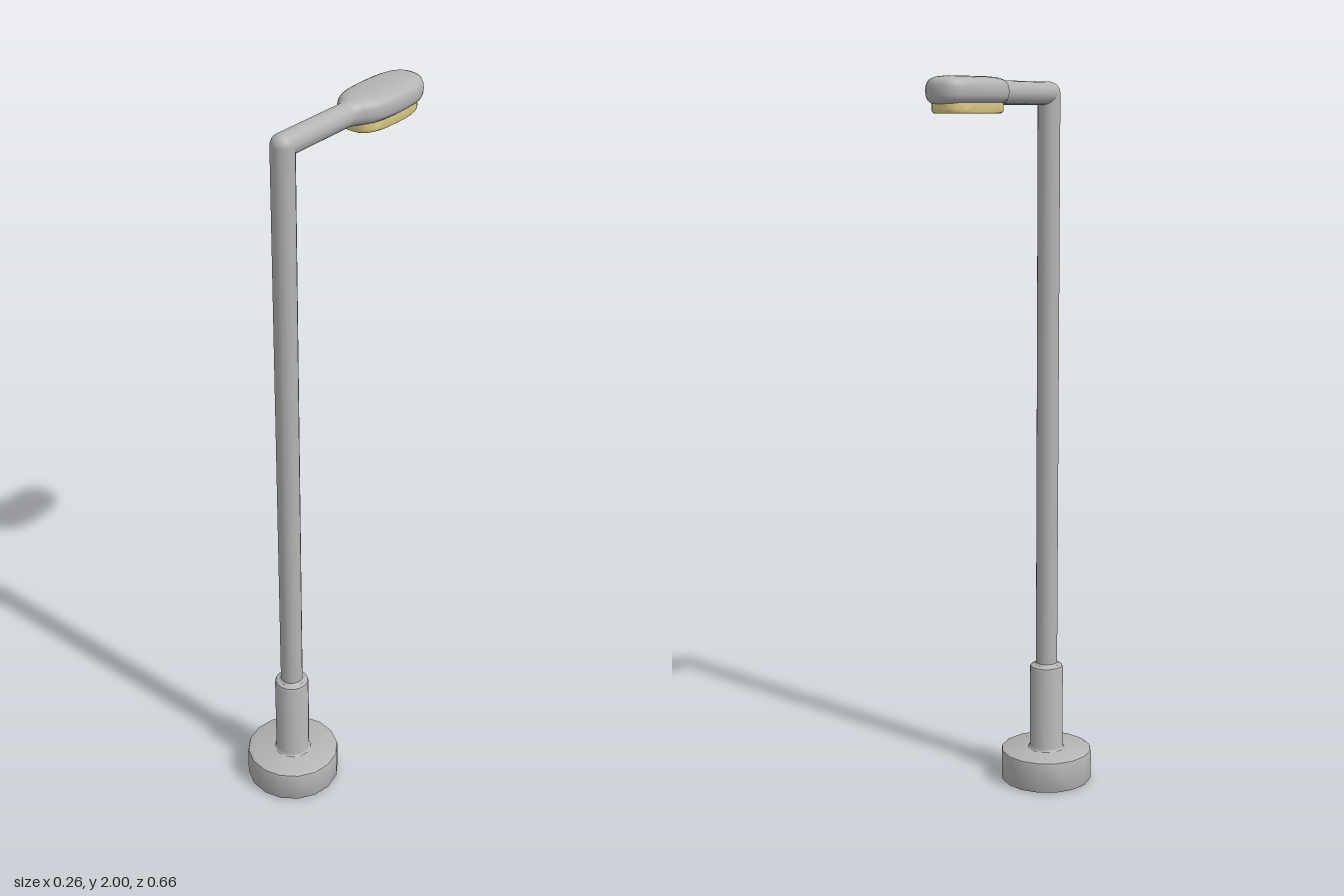
import * as THREE from 'three';
import { toCreasedNormals } from 'three/addons/utils/BufferGeometryUtils.js';

const POLE_Z = 0.196, ARM_Y = 1.96, TUBE_R = 0.031;

// Skin a list of equal-length rings of points; the last ring collapses to a tip
function loft(rings) {
  const n = rings[0].length, pos = rings.flat(2), index = [];
  for (let r = 0; r < rings.length - 1; r++) {
    for (let i = 0; i < n; i++) {
      const j = (i + 1) % n, a = r * n, b = a + n;
      index.push(a + i, b + i, a + j, a + j, b + i, b + j);
    }
  }
  const g = new THREE.BufferGeometry();
  g.setAttribute('position', new THREE.Float32BufferAttribute(pos, 3));
  g.setIndex(index);
  g.computeVertexNormals();
  return g;
}

// Points of a rounded-box outline with half sizes a and b
function superellipse(a, b, power, n = 32) {
  const f = (v) => Math.sign(v) * Math.abs(v) ** (2 / power);
  return Array.from({ length: n }, (_, i) => {
    const t = (i / n) * Math.PI * 2;
    return [a * f(Math.cos(t)), b * f(Math.sin(t))];
  });
}

export function createModel() {
  const group = new THREE.Group();
  const metal = new THREE.MeshStandardMaterial({ name: 'grey metal', color: 0xb4b4b4 });
  const glow = new THREE.MeshStandardMaterial({ name: 'warm lens', color: 0xeedb90 });

  const add = (name, geometry, material, x = 0, y = 0, z = 0) => {
    const mesh = new THREE.Mesh(geometry, material);
    mesh.name = name;
    mesh.position.set(x, y, z);
    group.add(mesh);
    return mesh;
  };
  const lathe = (profile) => toCreasedNormals(
    new THREE.LatheGeometry(profile.map(([r, y]) => new THREE.Vector2(r, y)), 16), 0.65);

  // Round foot with softened rims
  add('base', lathe([
    [0, 0], [0.125, 0], [0.13, 0.002], [0.132, 0.007],
    [0.132, 0.082], [0.13, 0.089], [0.123, 0.093], [0, 0.093],
  ]), metal, 0, 0, POLE_Z);

  // Thicker collar at the bottom of the pole
  add('sleeve', lathe([
    [0.054, 0.092], [0.05, 0.095], [0.048, 0.102], [0.048, 0.335],
    [0.046, 0.342], [0.041, 0.345], [0.036, 0.346], [0.031, 0.352],
  ]), metal, 0, 0, POLE_Z);

  // Pole, elbow and horizontal arm
  const poleBottom = 0.33;
  add('pole', new THREE.CylinderGeometry(TUBE_R, TUBE_R, ARM_Y - poleBottom, 16, 1, true),
    metal, 0, (ARM_Y + poleBottom) / 2, POLE_Z);
  add('elbow', new THREE.SphereGeometry(TUBE_R, 16, 12), metal, 0, ARM_Y, POLE_Z);
  const armEnd = -0.06;
  const arm = add('arm', new THREE.CylinderGeometry(TUBE_R, TUBE_R, POLE_Z - armEnd, 16, 1, true),
    metal, 0, ARM_Y, (POLE_Z + armEnd) / 2);
  arm.rotation.x = Math.PI / 2;

  // Lamp head swelling out of the arm: z, half width, bottom, top, squareness
  const sections = [
    [-0.045, 0.031, 1.929, 1.991, 2], [-0.06, 0.036, 1.928, 1.993, 2.1],
    [-0.07, 0.044, 1.928, 1.996, 2.3], [-0.085, 0.054, 1.927, 1.998, 2.5],
    [-0.105, 0.062, 1.926, 1.999, 2.7], [-0.135, 0.068, 1.926, 2, 2.8],
    [-0.175, 0.071, 1.926, 2, 2.8], [-0.22, 0.071, 1.926, 2, 2.8],
    [-0.26, 0.067, 1.926, 2, 2.8], [-0.29, 0.059, 1.927, 1.999, 2.8],
    [-0.308, 0.05, 1.928, 1.997, 2.7], [-0.32, 0.039, 1.932, 1.993, 2.6],
    [-0.327, 0.026, 1.938, 1.986, 2.5], [-0.33, 0.012, 1.948, 1.976, 2.3],
    [-0.33, 0, 1.962, 1.962, 2],
  ];
  add('lampHead', loft(sections.map(([z, w, lo, hi, p]) =>
    superellipse(w, (hi - lo) / 2, p).map(([x, y]) => [x, y + (lo + hi) / 2, z]))), metal);

  // Glowing lens under the head: y, scale
  const lensRings = [[1.94, 1], [1.916, 1], [1.911, 0.98], [1.908, 0.94], [1.907, 0.88], [1.907, 0]];
  add('lens', toCreasedNormals(loft(lensRings.map(([y, s]) =>
    superellipse(0.056 * s, 0.123 * s, 2.8).map(([x, z]) => [x, y, -z]))), 0.8),
  glow, 0, 0, -0.193);

  return group;
}
